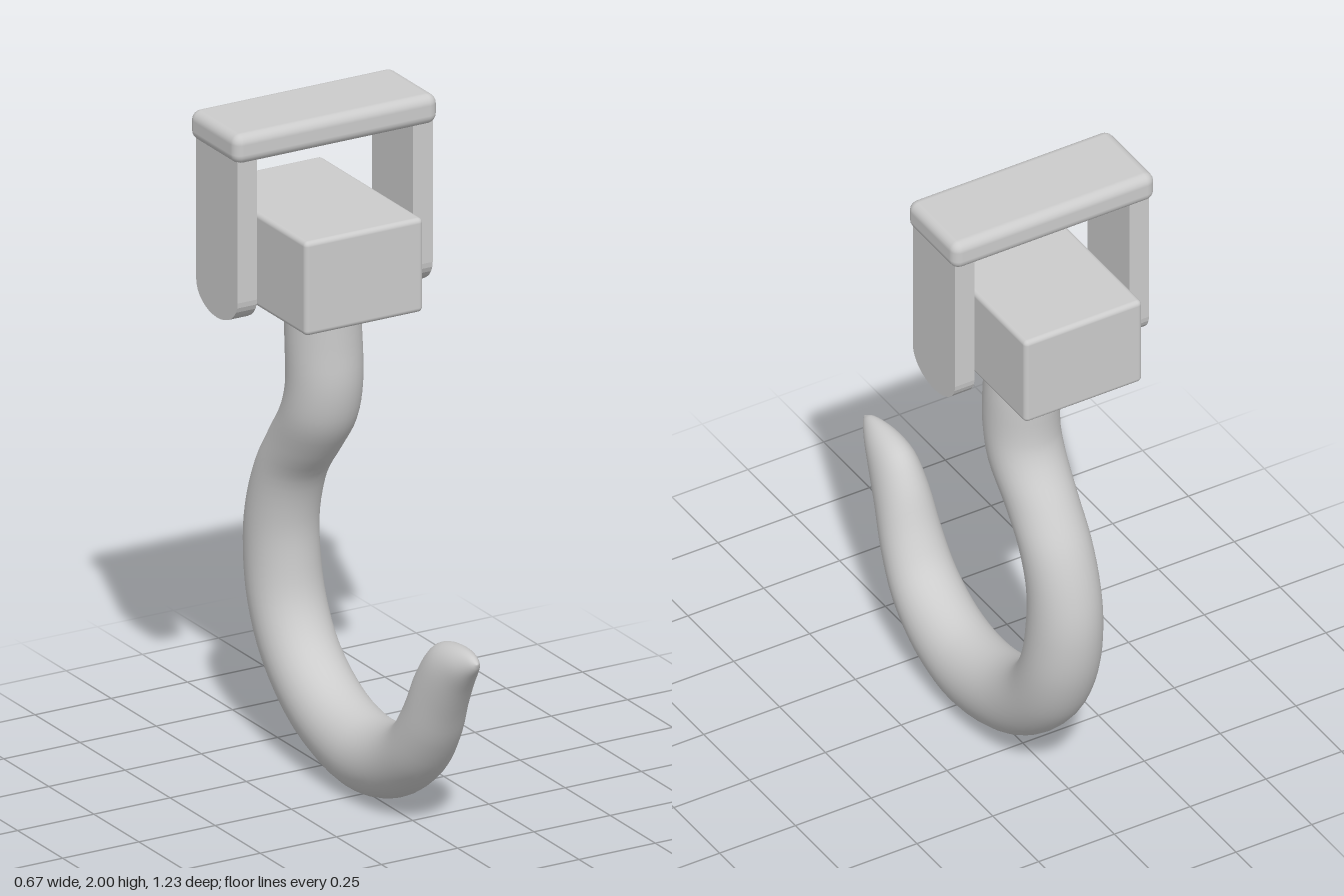
import * as THREE from 'three';
import { RoundedBoxGeometry } from 'three/addons/geometries/RoundedBoxGeometry.js';

const material = new THREE.MeshStandardMaterial({ color: 0xcccccc });

function addPart(group, name, geometry, x = 0, y = 0, z = 0) {
  const mesh = new THREE.Mesh(geometry, material);
  mesh.name = name;
  mesh.position.set(x, y, z);
  group.add(mesh);
  return mesh;
}

// Tapered hook: elliptical rings lofted between an inner and an outer edge curve
function hookGeometry() {
  // inner z, inner y, outer z, outer y, half width, centre x
  const stations = [
    [-0.155, 1.50, -0.38, 1.50, 0.10, 0.005],
    [-0.155, 1.30, -0.38, 1.30, 0.11, 0.013],
    [-0.155, 1.16, -0.38, 1.15, 0.11, 0.015],
    [-0.185, 1.04, -0.405, 1.08, 0.11, 0.014],
    [-0.26, 0.93, -0.475, 0.98, 0.104, 0.012],
    [-0.34, 0.83, -0.55, 0.86, 0.104, 0.012],
    [-0.38, 0.70, -0.60, 0.71, 0.105, 0.01],
    [-0.383, 0.58, -0.612, 0.58, 0.108, 0.012],
    [-0.36, 0.45, -0.585, 0.42, 0.112, 0.014],
    [-0.29, 0.345, -0.50, 0.25, 0.112, 0.014],
    [-0.16, 0.265, -0.31, 0.083, 0.112, 0.014],
    [0, 0.237, -0.04, 0.005, 0.112, 0.012],
    [0.12, 0.26, 0.16, 0.042, 0.108, 0.011],
    [0.22, 0.315, 0.32, 0.15, 0.102, 0.008],
    [0.285, 0.405, 0.42, 0.28, 0.092, 0.004],
    [0.345, 0.525, 0.48, 0.39, 0.08, 0],
    [0.41, 0.60, 0.535, 0.48, 0.066, -0.003],
    [0.50, 0.623, 0.58, 0.54, 0.045, -0.005],
    [0.585, 0.62, 0.612, 0.58, 0.018, -0.005],
    [0.618, 0.603, 0.62, 0.60, 0.003, -0.005],
  ];
  // The x channel carries half width (inner curve) and centre x (outer curve)
  const inner = new THREE.CatmullRomCurve3(stations.map((s) => new THREE.Vector3(s[4], s[1], s[0])));
  const outer = new THREE.CatmullRomCurve3(stations.map((s) => new THREE.Vector3(s[5], s[3], s[2])));
  const rings = 76, sides = 32, positions = [], indices = [];
  for (let i = 0; i <= rings; i++) {
    const a = inner.getPoint(i / rings), b = outer.getPoint(i / rings);
    for (let j = 0; j < sides; j++) {
      const angle = (j / sides) * Math.PI * 2, c = Math.cos(angle) / 2;
      positions.push(
        b.x + a.x * Math.sin(angle),
        (a.y + b.y) / 2 + (a.y - b.y) * c,
        (a.z + b.z) / 2 + (a.z - b.z) * c,
      );
      if (i < rings) {
        const p = i * sides + j, q = i * sides + ((j + 1) % sides);
        indices.push(p, p + sides, q, q, p + sides, q + sides);
      }
    }
  }
  // Close the point of the hook
  const last = rings * sides;
  for (let j = 1; j < sides - 1; j++) indices.push(last, last + j + 1, last + j);
  const geometry = new THREE.BufferGeometry();
  geometry.setAttribute('position', new THREE.Float32BufferAttribute(positions, 3));
  geometry.setIndex(indices);
  geometry.computeVertexNormals();
  return geometry;
}

// Flat side plate with a rounded lower end, extruded along x
function sidePlateGeometry(thickness) {
  const shape = new THREE.Shape();
  shape.moveTo(0.115, 1.95);
  shape.lineTo(-0.115, 1.95);
  shape.lineTo(-0.115, 1.49);
  shape.absellipse(0, 1.49, 0.115, 0.08, Math.PI, Math.PI * 2, false, 0);
  shape.closePath();
  const geometry = new THREE.ExtrudeGeometry(shape, { depth: thickness, bevelEnabled: false, curveSegments: 8 });
  geometry.translate(0, 0, -thickness / 2);
  geometry.rotateY(Math.PI / 2);
  return geometry;
}

export function createModel() {
  const model = new THREE.Group();
  model.name = 'hookWithBracket';

  addPart(model, 'hook', hookGeometry());
  addPart(model, 'swivelBlock', new RoundedBoxGeometry(0.388, 0.285, 0.57, 3, 0.015), -0.002, 1.562, -0.297);

  // Bracket straddling the block
  const bracket = new THREE.Group();
  bracket.name = 'bracket';
  addPart(bracket, 'topBar', new RoundedBoxGeometry(0.668, 0.09, 0.266, 3, 0.03), 0, 1.955, -0.298);
  for (const side of [-1, 1]) {
    addPart(bracket, side > 0 ? 'leftSidePlate' : 'rightSidePlate', sidePlateGeometry(0.064), side * 0.288, 0, -0.295);
  }
  model.add(bracket);
  return model;
}
